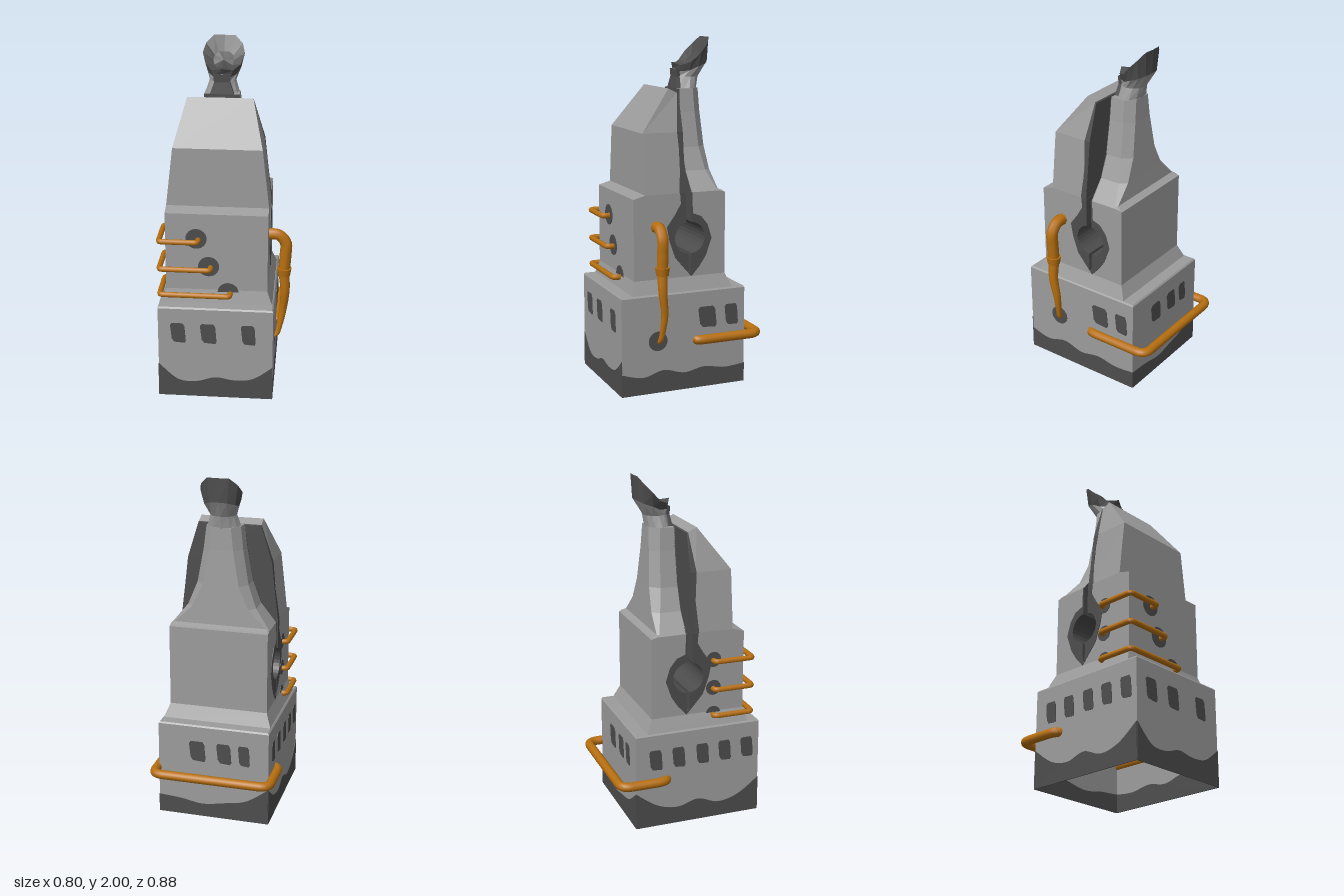
import * as THREE from 'three';

const V = (x, y, z) => new THREE.Vector3(x, y, z);
const material = (name, color) => {
  const m = new THREE.MeshStandardMaterial({ color, side: THREE.DoubleSide });
  m.name = name;
  return m;
};

// Faceted skin through rings of [x, y, z]; rings run from +z towards +x
function loft(rings, capBottom = true, capTop = true) {
  const pos = [];
  const tri = (...pts) => pts.forEach((p) => pos.push(...p));
  const n = rings[0].length;
  for (let r = 0; r < rings.length - 1; r++) {
    for (let i = 0; i < n; i++) {
      const j = (i + 1) % n, a = rings[r], b = rings[r + 1];
      tri(a[i], a[j], b[j]);
      tri(a[i], b[j], b[i]);
    }
  }
  const cap = (ring, up) => {
    const c = [0, 1, 2].map((k) => ring.reduce((s, p) => s + p[k], 0) / n);
    for (let i = 0; i < n; i++) {
      const p = ring[i], q = ring[(i + 1) % n];
      if (up) tri(c, p, q); else tri(c, q, p);
    }
  };
  if (capBottom) cap(rings[0], false);
  if (capTop) cap(rings[rings.length - 1], true);
  const g = new THREE.BufferGeometry();
  g.setAttribute('position', new THREE.Float32BufferAttribute(pos, 3));
  g.computeVertexNormals();
  return g;
}

// Four-cornered ring; front and back edges may differ in height
const quad = (x0, x1, zf, zb, yf, yb = yf) => [[x0, yf, zf], [x1, yf, zf], [x1, yb, zb], [x0, yb, zb]];

// Tube along straight runs with rounded corners
function pipe(pts, radius, bend, sides = 8) {
  const path = new THREE.CurvePath();
  let from = pts[0];
  for (let i = 1; i < pts.length - 1; i++) {
    const p = pts[i];
    const back = pts[i - 1].clone().sub(p), ahead = pts[i + 1].clone().sub(p);
    const a = p.clone().addScaledVector(back.clone().normalize(), Math.min(bend, back.length() * 0.49));
    const b = p.clone().addScaledVector(ahead.clone().normalize(), Math.min(bend, ahead.length() * 0.49));
    path.add(new THREE.LineCurve3(from, a));
    path.add(new THREE.QuadraticBezierCurve3(a, p, b));
    from = b;
  }
  path.add(new THREE.LineCurve3(from, pts[pts.length - 1]));
  return new THREE.TubeGeometry(path, 90, radius, sides);
}

// Outline of the keyhole slot, in (-z, y)
function slot(inset, top) {
  const cx = -0.01, cy = 0.88, r = 0.095 - inset, out = [];
  const arc = (a0, a1) => {
    for (let i = 0; i <= 12; i++) {
      const a = a0 + ((a1 - a0) * i) / 12;
      out.push(new THREE.Vector2(cx + r * Math.cos(a), cy + r * Math.sin(a)));
    }
  };
  out.push(new THREE.Vector2(-0.037 + inset, top));
  arc(1.859, 4.607);
  out.push(new THREE.Vector2(-0.02 + inset, 0.675 + inset), new THREE.Vector2(-inset, 0.675 + inset));
  arc(4.817, 7.748);
  out.push(new THREE.Vector2(-inset, top));
  return out;
}
const vec2 = (list) => list.map(([x, y]) => new THREE.Vector2(x, y));

function extrudeAcross(points, x0, x1) {
  const g = new THREE.ExtrudeGeometry(new THREE.Shape(points), { depth: x1 - x0, bevelEnabled: false });
  return g.rotateY(Math.PI / 2).translate(x0, 0, 0);
}

export function createModel() {
  const model = new THREE.Group();
  const grey = material('stone grey', 0x9c9c9c);
  const dark = material('soot grey', 0x4d4d4d);
  const orange = material('rust orange', 0xb87010);
  const add = (name, geometry, mat, parent = model) => {
    const mesh = new THREE.Mesh(geometry, mat);
    mesh.name = name;
    parent.add(mesh);
    return mesh;
  };

  // Hollow base with ledge and sloping skirt
  add('base', loft([
    quad(-0.355, 0.305, 0.44, -0.32, 0),
    quad(-0.355, 0.305, 0.44, -0.32, 0.568),
    quad(-0.348, 0.298, 0.433, -0.313, 0.577),
    quad(-0.345, 0.295, 0.37, -0.245, 0.577),
    quad(-0.315, 0.265, 0.35, -0.21, 0.655),
  ], false, false), grey);

  // Middle block split by the keyhole slot, with its sooty lining
  add('middleBlock', extrudeAcross([...slot(0, 1.14), ...vec2([
    [0.175, 1.14], [0.21, 1.13], [0.21, 0.65], [-0.35, 0.65], [-0.35, 1.12], [-0.28, 1.14],
  ])], -0.315, 0.265), grey);
  add('slotLining', extrudeAcross([...slot(0.003, 1.14), ...vec2([
    [0.004, 1.14], [0.008, 1.02], [0.06, 1.0], [0.1, 0.95], [0.125, 0.87], [0.09, 0.77], [0.05, 0.71], [0, 0.655],
    [-0.04, 0.7], [-0.1, 0.77], [-0.135, 0.87], [-0.15, 0.95], [-0.1, 1.02], [-0.065, 1.08], [-0.07, 1.14],
  ])], -0.318, 0.268), dark);

  // Front tower slab with dark inner face
  add('frontTower', loft([
    quad(-0.315, 0.265, 0.28, 0.065, 1.14),
    quad(-0.275, 0.225, 0.28, 0.065, 1.48),
    quad(-0.21, 0.16, 0.097, 0.045, 1.72, 1.695),
  ]), grey);
  add('frontTowerInnerFace', loft([
    quad(-0.316, 0.266, 0.075, 0.037, 1.14),
    quad(-0.294, 0.244, 0.06, 0.037, 1.32),
    quad(-0.276, 0.226, 0.072, 0.037, 1.48),
    quad(-0.211, 0.161, 0.045, 0.037, 1.694, 1.69),
  ]), dark);

  // Rear column, narrowing upwards
  const cx = -0.025;
  const column = [ // y, half width, back z, chamfer start z, back half width
    [1.138, 0.29, -0.2, -0.19, 0.285],
    [1.15, 0.28, -0.172, -0.16, 0.27],
    [1.25, 0.2, -0.165, -0.125, 0.165],
    [1.38, 0.15, -0.157, -0.105, 0.105],
    [1.58, 0.115, -0.145, -0.095, 0.07],
    [1.71, 0.1, -0.14, -0.09, 0.055],
  ];
  add('rearColumn', loft(column.map(([y, w, zb, zc, wb]) => [
    [cx - w, y, -0.003], [cx + w, y, -0.003], [cx + w, y, zc], [cx + wb, y, zb], [cx - wb, y, zb], [cx - w, y, zc],
  ])), grey);
  add('rearColumnInnerFace', loft(column.map(([y, w]) => quad(cx - w, cx + w, 0, -0.006, y))), dark);

  // Neck and tilted cup; half rings are mirrored
  const mirrorRing = (half) => [
    ...half, ...half.slice(1, -1).reverse().map(([x, y, z]) => [-x, y, z]),
  ].map(([x, y, z]) => [x + cx, y, z]);
  const ellipse = (y, w, zf, zb) => mirrorRing([0, 1, 2, 3, 4, 5, 6].map((i) => {
    const a = (i * Math.PI) / 6;
    return [w * Math.sin(a), y, (zf + zb) / 2 + ((zf - zb) / 2) * Math.cos(a)];
  }));
  const flare = mirrorRing([[0, 1.825, -0.012], [0.05, 1.805, -0.03], [0.08, 1.81, -0.08], [0.1, 1.835, -0.13],
    [0.088, 1.85, -0.175], [0.05, 1.862, -0.2], [0, 1.865, -0.207]]);
  const rim = mirrorRing([[0, 1.857, 0.002], [0.06, 1.84, -0.03], [0.1, 1.862, -0.085], [0.12, 1.915, -0.135],
    [0.105, 1.96, -0.178], [0.062, 2, -0.205], [0, 2, -0.21]]);
  const bowl = rim.map(([x, y, z]) => [cx + (x - cx) * 0.5, 1.87 + (y - 1.9) * 0.45, -0.115 + (z + 0.11) * 0.5]);
  add('neck', loft([ellipse(1.7, 0.1, 0, -0.14), ellipse(1.775, 0.076, -0.016, -0.157), flare], true, false), grey);
  add('neckSoot', loft([
    quad(cx - 0.075, cx + 0.075, 0.001, -0.03, 1.69),
    quad(cx - 0.045, cx + 0.045, -0.012, -0.04, 1.775),
    quad(cx - 0.05, cx + 0.05, -0.01, -0.04, 1.82),
  ]), dark);
  add('cup', loft([flare, rim, bowl], false, true), dark);

  // Painted patches: each wall group faces outwards, patches lie on its surface
  const walls = {};
  [['front', 0], ['left', Math.PI / 2], ['back', Math.PI], ['right', -Math.PI / 2]].forEach(([name, angle]) => {
    const g = walls[name] = new THREE.Group();
    g.name = name + 'Markings';
    g.rotation.y = angle;
    model.add(g);
  });
  const patch = (name, wall, shape, distance) => {
    const g = new THREE.ExtrudeGeometry(shape, { depth: 0.006, bevelEnabled: false });
    add(name, g, dark, walls[wall]).position.z = distance - 0.003;
  };
  const windowShape = (u, y, w, h) => new THREE.Shape(vec2([
    [-0.5, 0.4], [-0.4, 0.5], [0.3, 0.5], [0.42, 0.35], [0.5, -0.4], [0.42, -0.5], [-0.25, -0.46], [-0.4, -0.3],
  ].map(([a, b]) => [u + a * w, y + b * h])));
  const spot = (u, y, r) => new THREE.Shape().absarc(u, y, r, 0, Math.PI * 2);

  // Base walls: distance, extent, soot heights and windows (position, width)
  const baseWalls = [
    ['front', 0.44, -0.355, 0.305, [0.21, 0.11, 0.1, 0.13, 0.115, 0.13, 0.21], [[-0.24, 0.09], [-0.065, 0.095], [0.165, 0.085]]],
    ['left', 0.305, -0.44, 0.32, [0.13, 0.1, 0.13, 0.1, 0.12, 0.1, 0.11], [[0.085, 0.115], [0.237, 0.085]]],
    ['back', 0.32, -0.305, 0.355, [0.11, 0.1, 0.08, 0.1, 0.13, 0.22], [[-0.07, 0.1], [0.09, 0.09], [0.21, 0.07]]],
    ['right', 0.355, -0.32, 0.44, [0.22, 0.13, 0.1, 0.13, 0.09, 0.12, 0.21],
      [[-0.2, 0.08], [-0.06, 0.08], [0.087, 0.08], [0.225, 0.08], [0.365, 0.08]]],
  ];
  baseWalls.forEach(([wall, d, u0, u1, heights, windows]) => {
    const band = new THREE.Shape();
    band.moveTo(u1, 0);
    band.lineTo(u0, 0);
    band.lineTo(u0, heights[0]);
    band.splineThru(vec2(heights.slice(1).map((h, i) => [u0 + ((u1 - u0) * (i + 1)) / (heights.length - 1), h])));
    patch('sootBand', wall, band, d);
    windows.forEach(([u, w]) => patch('window', wall, windowShape(u, 0.415, w, 0.125), d));
  });

  // Three thin pipes wrapping the front corner
  [[0.965, -0.128], [0.795, -0.058], [0.635, 0.053]].forEach(([y, x]) => {
    add('frontPipe', pipe([V(-0.3, y, 0.163), V(-0.348, y, 0.163), V(-0.348, y, 0.395), V(x, y, 0.395), V(x, y, 0.335)],
      0.016, 0.022), orange);
    patch('frontPipeStain', 'front', spot(x - 0.012, y + 0.005, 0.06), 0.35);
    patch('sidePipeStain', 'right', spot(0.165, y + 0.005, 0.045), 0.315);
  });

  // Bar around the back of the base
  add('rearBar', pipe([V(0.28, 0.285, -0.015), V(0.317, 0.285, -0.015), V(0.317, 0.285, -0.412),
    V(-0.377, 0.285, -0.412), V(-0.377, 0.285, -0.145), V(-0.33, 0.285, -0.125)], 0.027, 0.06, 10), orange);

  // Tapering hose on the side: rings of a tube scaled along its length
  const hose = new THREE.CatmullRomCurve3([V(0.25, 0.957, 0.215), V(0.32, 0.952, 0.215), V(0.36, 0.905, 0.215),
    V(0.36, 0.82, 0.215), V(0.355, 0.72, 0.215), V(0.362, 0.6, 0.215), V(0.352, 0.47, 0.2), V(0.335, 0.37, 0.205),
    V(0.318, 0.31, 0.212), V(0.29, 0.295, 0.215)]);
  const steps = 60, sides = 8;
  const hoseGeo = new THREE.TubeGeometry(hose, steps, 1, sides);
  const pos = hoseGeo.attributes.position;
  for (let i = 0; i <= steps; i++) {
    const c = hose.getPointAt(i / steps);
    const r = c.y > 0.74 ? 0.034 : THREE.MathUtils.mapLinear(c.y, 0.74, 0.29, 0.033, 0.014);
    for (let j = 0; j <= sides; j++) {
      const k = i * (sides + 1) + j;
      const p = V().fromBufferAttribute(pos, k).sub(c).multiplyScalar(r).add(c);
      pos.setXYZ(k, p.x, p.y, p.z);
    }
  }
  add('sideHose', hoseGeo, orange);
  add('hoseCollar', new THREE.CylinderGeometry(0.043, 0.036, 0.045, 10), orange).position.set(0.355, 0.722, 0.215);
  patch('hoseStain', 'left', spot(-0.222, 0.305, 0.057), 0.305);

  return model;
}
